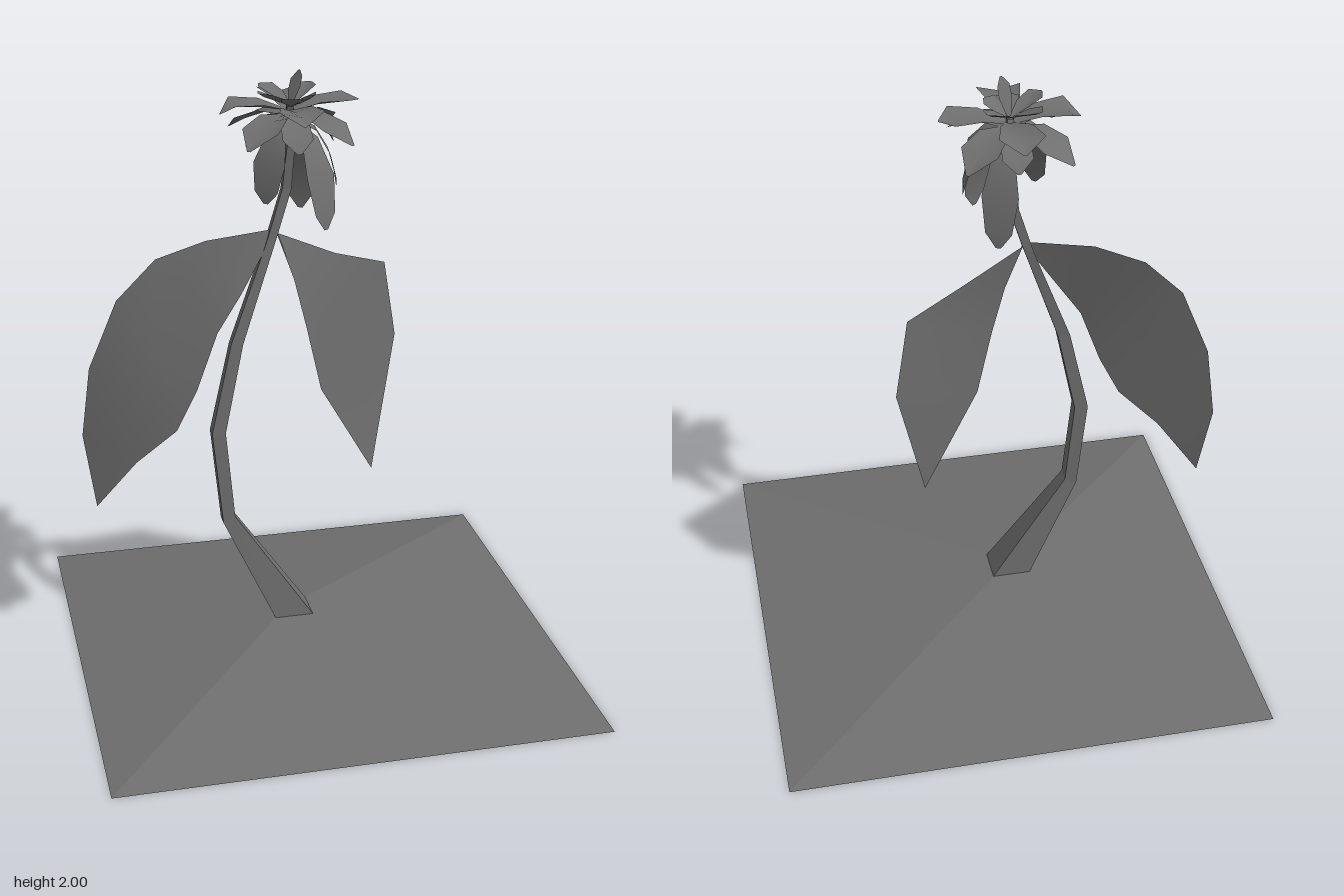
import * as THREE from 'three';

const color = 0x6f6f6f;
const material = new THREE.MeshStandardMaterial({ color, side: THREE.DoubleSide });
const flat = new THREE.MeshStandardMaterial({ color, side: THREE.DoubleSide, flatShading: true });

// Surface through rows of points, each row holding the same number of points
function loft(name, rows, mat, closed = false) {
  const n = rows[0].length, index = [];
  for (let i = 0; i < rows.length - 1; i++) {
    for (let j = 0; j < (closed ? n : n - 1); j++) {
      const a = i * n + j, b = i * n + (j + 1) % n;
      index.push(a, b, b + n, a, b + n, a + n);
    }
  }
  const geometry = new THREE.BufferGeometry();
  geometry.setAttribute('position', new THREE.Float32BufferAttribute(rows.flat(2), 3));
  geometry.setIndex(index);
  geometry.computeVertexNormals();
  const mesh = new THREE.Mesh(geometry, mat);
  mesh.name = name;
  return mesh;
}

// Four-cornered ring: left x, y, right x, y, front z, back z
const ring = ([xl, yl, xr, yr, zf, zb]) => [[xl, yl, zf], [xr, yr, zf], [xr, yr, zb], [xl, yl, zb]];

// Leaf blade between an outer and an inner edge
function leaf(name, outer, inner) {
  const rows = outer.map((o, i) => {
    const mid = o.map((v, k) => (v + inner[i][k]) / 2);
    return [o, mid, inner[i]];
  });
  return loft(name, rows, material);
}

// Petal spreading from (x, z); profile holds [radius, y, half width]
function petal(name, x, z, degrees, profile, fold) {
  const a = THREE.MathUtils.degToRad(degrees), c = Math.cos(a), s = Math.sin(a);
  const rows = profile.map(([r, y, w]) => [1, 0, -1].map(k => [
    x + c * r - s * w * k,
    y + (k && w > 0.02 ? fold : 0),
    z + s * r + c * w * k,
  ]));
  return loft(name, rows, material);
}

export function createModel() {
  const model = new THREE.Group();

  // Low mound, open below, with a flat top at the foot of the stem
  const foot = [-0.14, 0.125, -0.01, 0.125, 0.06, -0.06];
  const top = [-0.075, 0.125, -0.075, 0.125, 0, 0];
  model.add(loft('mound', [[-0.8, 0, 0.8, 0, 0.8, -0.8], foot, top].map(ring), flat, true));

  // Bent, tapering square stem
  model.add(loft('stem', [
    foot,
    [-0.305, 0.48, -0.265, 0.5, 0.015, -0.035],
    [-0.335, 0.8, -0.29, 0.8, 0.005, -0.04],
    [-0.265, 1.1, -0.225, 1.1, -0.01, -0.045],
    [-0.135, 1.44, -0.1, 1.46, -0.04, -0.07],
    [-0.085, 1.6, -0.055, 1.6, -0.047, -0.072],
    [-0.07, 1.75, -0.045, 1.75, -0.035, -0.057],
    [-0.08, 1.88, -0.06, 1.88, 0.01, -0.01],
  ].map(ring), flat, true));

  // Two large hanging leaves
  model.add(leaf('rightLeaf', [
    [-0.115, 1.47, -0.05], [-0.33, 1.44, -0.07], [-0.49, 1.38, -0.1], [-0.62, 1.25, -0.1],
    [-0.715, 1.02, -0.115], [-0.745, 0.78, -0.13], [-0.71, 0.53, -0.105],
  ], [
    [-0.115, 1.45, -0.05], [-0.23, 1.27, -0.01], [-0.31, 1.15, 0.0], [-0.38, 0.96, 0.0],
    [-0.45, 0.82, -0.005], [-0.58, 0.7, -0.05], [-0.71, 0.53, -0.105],
  ]));
  model.add(leaf('leftLeaf', [
    [-0.11, 1.46, -0.05], [0.1, 1.36, -0.095], [0.285, 1.295, -0.16],
    [0.33, 1.03, -0.18], [0.23, 0.58, -0.09],
  ], [
    [-0.1, 1.46, -0.05], [-0.05, 1.3, -0.035], [-0.01, 1.13, -0.025],
    [0.04, 0.91, -0.035], [0.23, 0.58, -0.09],
  ]));

  // Flower head
  const flower = new THREE.Group();
  flower.name = 'flower';
  model.add(flower);
  const cx = -0.07;

  // Wide upper petals, lower ones between them, and short drooping ones beneath
  for (let i = 0; i < 4; i++) {
    flower.add(petal('upperPetal', cx, 0, i * 90, [
      [0, 1.865, 0.015], [0.09, 1.88, 0.05], [0.18, 1.885, 0.07], [0.22, i ? 1.865 : 1.89, 0.004],
    ], 0.018));
    flower.add(petal('lowerPetal', cx, 0, 45 + i * 90, [
      [0, 1.85, 0.015], [0.09, 1.85, 0.05], [0.165, 1.82, 0.066], [0.23, 1.785, 0.006],
    ], 0.014));
    flower.add(petal('drooping petal', cx, 0, i * 90, [
      [0, 1.86, 0.01], [0.07, 1.84, 0.045], [0.12, 1.795, 0.048], [0.14, 1.76, 0.006],
    ], 0.005));
  }

  // Small inner petals
  for (const [angle, r, y] of [[-130, 0.12, 1.935], [-42, 0.115, 1.935], [40, 0.09, 1.925], [95, 0.09, 1.92], [155, 0.12, 1.935]]) {
    flower.add(petal('innerPetal', cx, 0, angle, [
      [0, 1.88, 0.005], [r * 0.4, y - 0.035, 0.03], [r * 0.8, y - 0.015, 0.035], [r, y, 0.004],
    ], 0.014));
  }
  // Upright bud petal at the very top
  flower.add(petal('budPetal', -0.055, 0.03, 60, [
    [-0.03, 1.88, 0.008], [-0.01, 1.94, 0.025], [0, 1.975, 0.024], [0.012, 2, 0.004],
  ], 0));

  // Hanging sepals below: angle, tip radius, tip height
  for (const [angle, r, y] of [[58, 0.16, 1.515], [-65, 0.15, 1.51], [8, 0.145, 1.625], [135, 0.14, 1.6]]) {
    const drop = 1.84 - y;
    flower.add(petal('sepal', cx, 0, angle, [
      [0.01, 1.84, 0.008], [r * 0.55, 1.84 - drop * 0.15, 0.035],
      [r * 0.85, 1.84 - drop * 0.5, 0.058], [r * 0.98, 1.84 - drop * 0.85, 0.042], [r, y, 0.008],
    ], 0));
  }
  return model;
}
